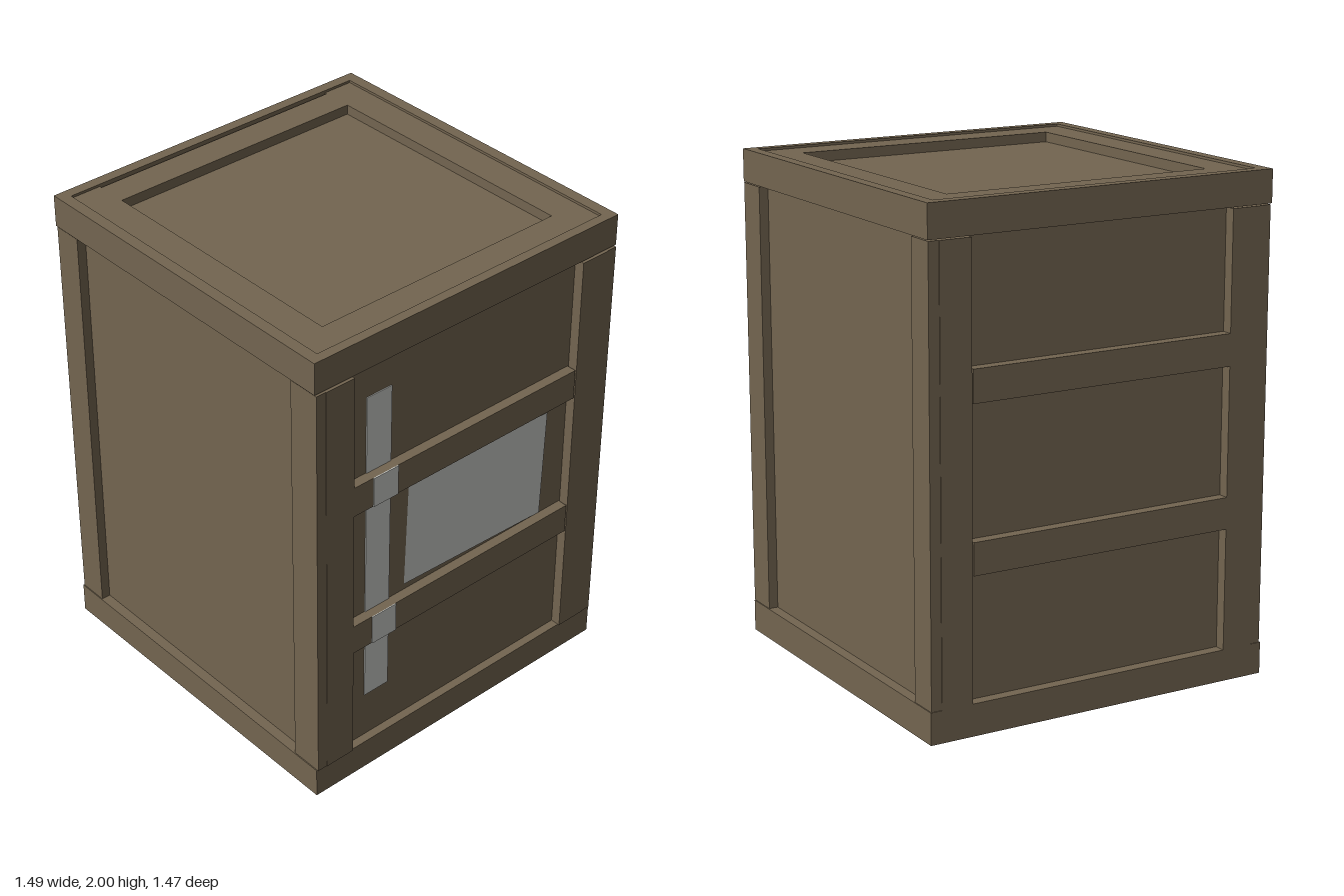
import * as THREE from 'three';

export function createModel() {
  const model = new THREE.Group();
  const wood = new THREE.MeshStandardMaterial({ color: 0x736550 });
  wood.name = 'brownWood';
  const paper = new THREE.MeshStandardMaterial({ color: 0xc8cac6 });
  paper.name = 'paleLabel';

  // Box given by its lower and upper limits on each axis
  function board(name, [x0, x1], [y0, y1], [z0, z1], material = wood) {
    const mesh = new THREE.Mesh(new THREE.BoxGeometry(x1 - x0, y1 - y0, z1 - z0), material);
    mesh.position.set((x0 + x1) / 2, (y0 + y1) / 2, (z0 + z1) / 2);
    mesh.name = name;
    model.add(mesh);
  }
  // Range from a to b, mirrored when the side is negative
  const span = (side, a, b) => (side > 0 ? [a, b] : [-b, -a]);

  // Recessed panels of the crate
  board('panelBody', [-0.70, 0.695], [0.045, 1.95], [-0.695, 0.695]);

  for (const s of [-1, 1]) {
    const face = s > 0 ? 'front' : 'back';
    const flank = s > 0 ? 'left' : 'right';
    const outerX = s > 0 ? [0.69, 0.73] : [-0.745, -0.70];

    // Horizontal rails round the top and bottom edges
    for (const [level, y] of [['Top', [1.87, 2]], ['Bottom', [0.01, 0.137]]]) {
      board(face + level + 'Rail', [-0.745, 0.73], y, span(s, 0.69, 0.737));
      board(flank + level + 'Rail', outerX, y, [-0.737, 0.737]);
    }

    // Corner posts on all four faces
    for (const c of [-1, 1]) {
      const x = c > 0 ? [0.60, 0.735] : [-0.742, -0.62];
      board(face + 'Post', x, [0.137, 1.865], span(s, 0.69, 0.733));
      board(flank + 'Post', s > 0 ? [0.69, 0.737] : outerX, [0.137, 1.865], span(c, 0.56, 0.69));
    }

    // Cross rails on the two flanks
    for (const y of [[0.625, 0.752], [1.265, 1.392]]) {
      board(flank + 'CrossRail', s > 0 ? [0.69, 0.736] : outerX, y, [-0.555, 0.56]);
    }

    // Boards framing the lid and the base
    for (const [level, y] of [['lid', [1.94, 1.99]], ['base', [0, 0.06]]]) {
      board(level + 'CrossBoard', [-0.70, 0.69], y, span(s, 0.558, 0.695));
      board(level + 'SideBoard', span(s, 0.565, 0.69), y, [-0.558, 0.558]);
    }
  }

  // Label strip running over panels and cross rails
  const panelX = [0.694, 0.699], railX = [0.735, 0.74];
  const strip = [
    [0.34, 0.625, panelX], [0.625, 0.752, railX], [0.752, 1.265, panelX],
    [1.265, 1.392, railX], [1.392, 1.72, panelX],
  ];
  for (const [y0, y1, x] of strip) board('labelStrip', x, [y0, y1], [0.35, 0.468], paper);

  // Slightly tilted paper label between the cross rails
  const sheet = new THREE.Shape([
    [-0.26, 1.25], [-0.275, 0.78], [0.44, 0.755], [0.455, 1.225],
  ].map(([u, v]) => new THREE.Vector2(u, v)));
  const label = new THREE.Mesh(new THREE.ShapeGeometry(sheet), paper);
  label.rotation.y = Math.PI / 2;
  label.position.x = 0.699;
  label.name = 'paperLabel';
  model.add(label);

  return model;
}
